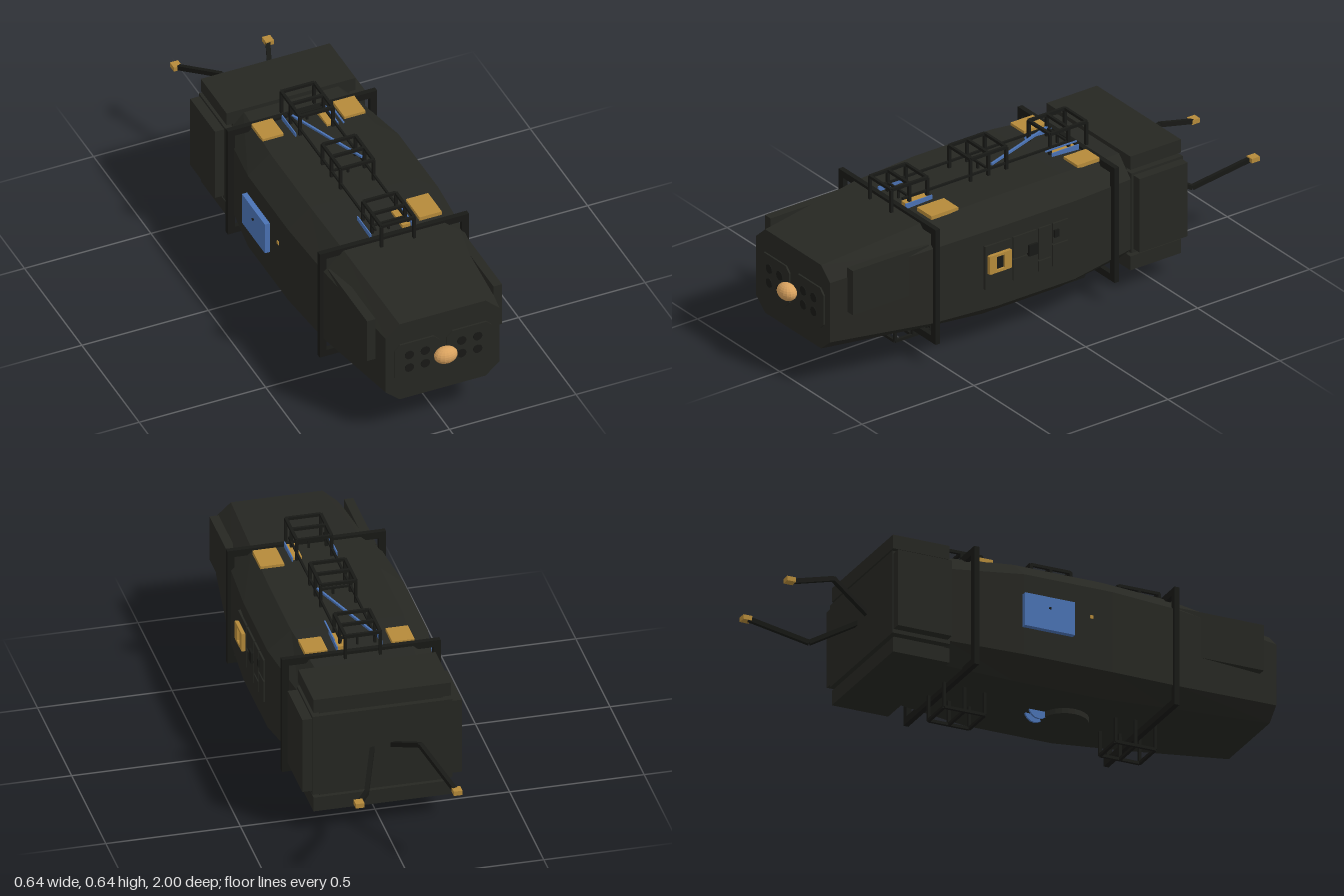
import * as THREE from 'three';

const mat = (color) => new THREE.MeshStandardMaterial({ color, flatShading: true, side: THREE.DoubleSide });
const dark = mat(0x262722), black = mat(0x181916), gold = mat(0xb58a3a), blue = mat(0x4a72b4), amber = mat(0xd9a25f);

export function createModel() {
  const model = new THREE.Group();

  const add = (name, geo, material = dark, parent = model) => {
    const m = new THREE.Mesh(geo, material);
    m.name = name;
    parent.add(m);
    return m;
  };
  const group = (name) => {
    const g = new THREE.Group();
    g.name = name;
    model.add(g);
    return g;
  };
  // Box given by its limits on each axis
  const box = (name, [x0, x1], [y0, y1], [z0, z1], material = dark, parent = model) => {
    const m = add(name, new THREE.BoxGeometry(x1 - x0, y1 - y0, z1 - z0), material, parent);
    m.position.set((x0 + x1) / 2, (y0 + y1) / 2, (z0 + z1) / 2);
    return m;
  };
  // Square bar between two points
  const bar = (name, a, b, t, material = black, parent = model) => {
    const p = new THREE.Vector3(...a), q = new THREE.Vector3(...b);
    const m = add(name, new THREE.BoxGeometry(t, t, p.distanceTo(q)), material, parent);
    m.position.copy(p).lerp(q, 0.5);
    m.lookAt(q);
    return m;
  };

  // Hull: eight-sided sections [z, half width, half roof, top, shoulder, lower shoulder, bottom]
  const sections = [
    [-0.39, 0.255, 0.185, 0.54, 0.465, 0.18, 0.115],
    [-0.1, 0.298, 0.21, 0.557, 0.483, 0.165, 0.096],
    [0.25, 0.298, 0.21, 0.557, 0.483, 0.165, 0.096],
    [0.52, 0.28, 0.2, 0.546, 0.475, 0.172, 0.118],
    [0.94, 0.225, 0.17, 0.495, 0.445, 0.203, 0.155],
  ];
  const loops = sections.map(([z, w, r, t, s, l, b]) =>
    [[r, b], [w, l], [w, s], [r, t], [-r, t], [-w, s], [-w, l], [-r, b]].map(([x, y]) => [x, y, z]));
  const tris = [];
  for (let i = 0; i < loops.length - 1; i++) {
    for (let j = 0; j < 8; j++) {
      const k = (j + 1) % 8, a = loops[i], b = loops[i + 1];
      tris.push(a[j], a[k], b[k], a[j], b[k], b[j]);
    }
  }
  const front = loops[loops.length - 1], back = loops[0];
  for (let j = 1; j < 7; j++) tris.push(front[0], front[j], front[j + 1], back[0], back[j + 1], back[j]);
  const hullGeo = new THREE.BufferGeometry();
  hullGeo.setAttribute('position', new THREE.Float32BufferAttribute(tris.flat(), 3));
  hullGeo.computeVertexNormals();
  add('hull', hullGeo);

  // Rear block with top, bottom and side slabs
  box('rearBlock', [-0.26, 0.26], [0.165, 0.49], [-0.61, -0.38]);
  box('rearBlockCore', [-0.23, 0.23], [0.12, 0.535], [-0.59, -0.38]);
  box('rearTopSlab', [-0.255, 0.255], [0.503, 0.557], [-0.605, -0.38]);
  box('rearBottomSlab', [-0.255, 0.255], [0.093, 0.15], [-0.605, -0.38]);
  for (const s of [-1, 1]) {
    box('rearSideSlab', [s * 0.278 - 0.019, s * 0.278 + 0.019], [0.18, 0.48], [-0.605, -0.39]);
    // Cheek plates beside the nose
    box('cheekPlate', [s * 0.25 - 0.017, s * 0.25 + 0.017], [0.31, 0.49], [0.53, 0.87]);
  }

  // Rectangular ring frames around the hull
  for (const z of [0.51, -0.29]) {
    const ring = new THREE.Shape();
    ring.moveTo(-0.295, 0.09).lineTo(0.295, 0.09).lineTo(0.295, 0.557).lineTo(-0.295, 0.557).closePath();
    const hole = new THREE.Path();
    hole.moveTo(-0.268, 0.117).lineTo(-0.268, 0.53).lineTo(0.268, 0.53).lineTo(0.268, 0.117).closePath();
    ring.holes.push(hole);
    const m = add('ringFrame', new THREE.ExtrudeGeometry(ring, { depth: 0.02, bevelEnabled: false }), black);
    m.position.z = z - 0.01;
  }

  // Nose plates with round ports, and the nose lamp
  for (const s of [-1, 1]) {
    const plate = new THREE.Shape();
    const w = 0.089, h = 0.082, c = 0.022;
    plate.moveTo(-w + c, -h).lineTo(w - c, -h).lineTo(w, -h + c).lineTo(w, h - c)
      .lineTo(w - c, h).lineTo(-w + c, h).lineTo(-w, h - c).lineTo(-w, -h + c).closePath();
    add('nosePlate', new THREE.ExtrudeGeometry(plate, { depth: 0.008, bevelEnabled: false }))
      .position.set(s * 0.104, 0.322, 0.939);
    for (const x of [0.072, 0.135]) for (const y of [0.294, 0.351]) {
      const port = add('nosePort', new THREE.CylinderGeometry(0.018, 0.018, 0.008, 16), black);
      port.rotation.x = Math.PI / 2;
      port.position.set(s * x, y, 0.946);
    }
  }
  const lamp = add('noseLamp', new THREE.SphereGeometry(1, 16, 12), amber);
  lamp.scale.set(0.045, 0.033, 0.032);
  lamp.position.set(0, 0.323, 0.968);

  // Open cages on the roof and under the belly
  const cage = (name, z0, z1, yHull, yEnd) => {
    const g = group(name), t = 0.011, zs = [z0, (z0 + z1) / 2, z1];
    for (const x of [-0.065, 0.065]) {
      for (const z of zs) bar('post', [x, yHull, z], [x, yEnd, z], t, black, g);
      bar('rail', [x, yEnd, z0], [x, yEnd, z1], t, black, g);
    }
    for (const z of zs) bar('crossBar', [-0.065, yEnd, z], [0.065, yEnd, z], t, black, g);
  };
  cage('roofCageFront', 0.389, 0.549, 0.54, 0.633);
  cage('roofCageMiddle', 0.036, 0.195, 0.55, 0.646);
  cage('roofCageRear', -0.322, -0.16, 0.54, 0.636);
  cage('bellyCageFront', 0.375, 0.533, 0.125, 0.012);
  cage('bellyCageRear', -0.31, -0.148, 0.125, 0.012);
  for (const x of [-0.065, 0.065]) bar('roofRail', [x, 0.582, -0.26], [x, 0.582, 0.5], 0.008);
  for (const z of [-0.24, 0.115, 0.47]) {
    bar('roofRung', [-0.065, 0.582, z], [0.065, 0.582, z], 0.008);
    bar('roofPost', [0, 0.54, z], [0, 0.582, z], 0.008);
  }
  bar('roofDiagonal', [-0.062, 0.586, -0.24], [0.062, 0.595, 0.1], 0.008, blue);

  // Gold roof pads and the small fittings next to the cages
  box('roofPad', [0.12, 0.208], [0.548, 0.563], [0.355, 0.475], gold);
  box('roofPad', [0.12, 0.204], [0.548, 0.563], [-0.28, -0.18], gold);
  box('roofPad', [-0.203, -0.12], [0.548, 0.563], [-0.28, -0.18], gold);
  for (const z of [0.44, -0.215]) {
    box('roofTab', [0.045, 0.078], [0.54, 0.562], [z - 0.05, z + 0.05], gold);
    for (const x of [-0.083, 0.083]) box('roofClip', [x - 0.002, x + 0.002], [0.54, 0.568], [z - 0.06, z + 0.06], blue);
  }
  bar('roofPin', [0.09, 0.588, -0.26], [0.09, 0.588, -0.12], 0.005, blue);

  // Left side: panel cluster and gold hatch frame
  const panels = [[0.19, 0.305, 0.25, 0.425], [0.075, 0.18, 0.342, 0.425], [0.075, 0.18, 0.25, 0.334],
    [0.01, 0.066, 0.3, 0.425], [-0.066, 0.002, 0.345, 0.425], [-0.066, 0.002, 0.25, 0.337], [0.01, 0.066, 0.25, 0.292]];
  for (const [z0, z1, y0, y1] of panels) box('sidePanel', [0.28, 0.305], [y0, y1], [z0, z1]);
  box('sideKnob', [0.3, 0.314], [0.33, 0.375], [0.075, 0.115], black);
  box('sideKnob', [0.3, 0.312], [0.37, 0.4], [-0.02, 0.0], black);
  const hatch = group('hatchFrame');
  for (const z of [0.212, 0.28]) box('hatchPost', [0.298, 0.319], [0.315, 0.387], [z - 0.016, z + 0.016], gold, hatch);
  for (const y of [0.319, 0.383]) box('hatchBar', [0.298, 0.319], [y - 0.005, y + 0.005], [0.2, 0.29], gold, hatch);
  box('hatchWindow', [0.298, 0.31], [0.322, 0.38], [0.226, 0.266], black, hatch);

  // Right side: blue panel with a knob, and a small marker
  box('bluePanel', [-0.318, -0.295], [0.272, 0.402], [-0.108, 0.092], blue);
  box('bluePanelKnob', [-0.323, -0.315], [0.354, 0.361], [-0.012, -0.004], black);
  box('sideMarker', [-0.302, -0.295], [0.36, 0.373], [0.16, 0.173], gold);

  // Belly disc and small blue dish
  add('bellyDisc', new THREE.CylinderGeometry(0.09, 0.09, 0.025, 24)).position.set(0, 0.088, 0.2);
  for (const x of [-0.018, 0.018]) {
    const dish = add('bellyDish', new THREE.CylinderGeometry(0.04, 0.04, 0.008, 16), blue);
    dish.rotation.z = Math.PI / 2;
    dish.position.set(x, 0.105, 0.09);
  }

  // Bent rear booms with gold tips: right one rises, left one dips
  for (const [s, y] of [[1, 0.243], [-1, 0.413]]) {
    const knee = [s * 0.1, y, -0.77];
    bar('boomInner', [s * 0.035, 0.33, -0.6], knee, 0.017);
    bar('boomOuter', knee, [s * 0.178, 0.328, -0.975], 0.017);
    box('boomTip', [s * 0.182 - 0.016, s * 0.182 + 0.016], [0.32, 0.338], [-1, -0.965], gold);
  }
  return model;
}
